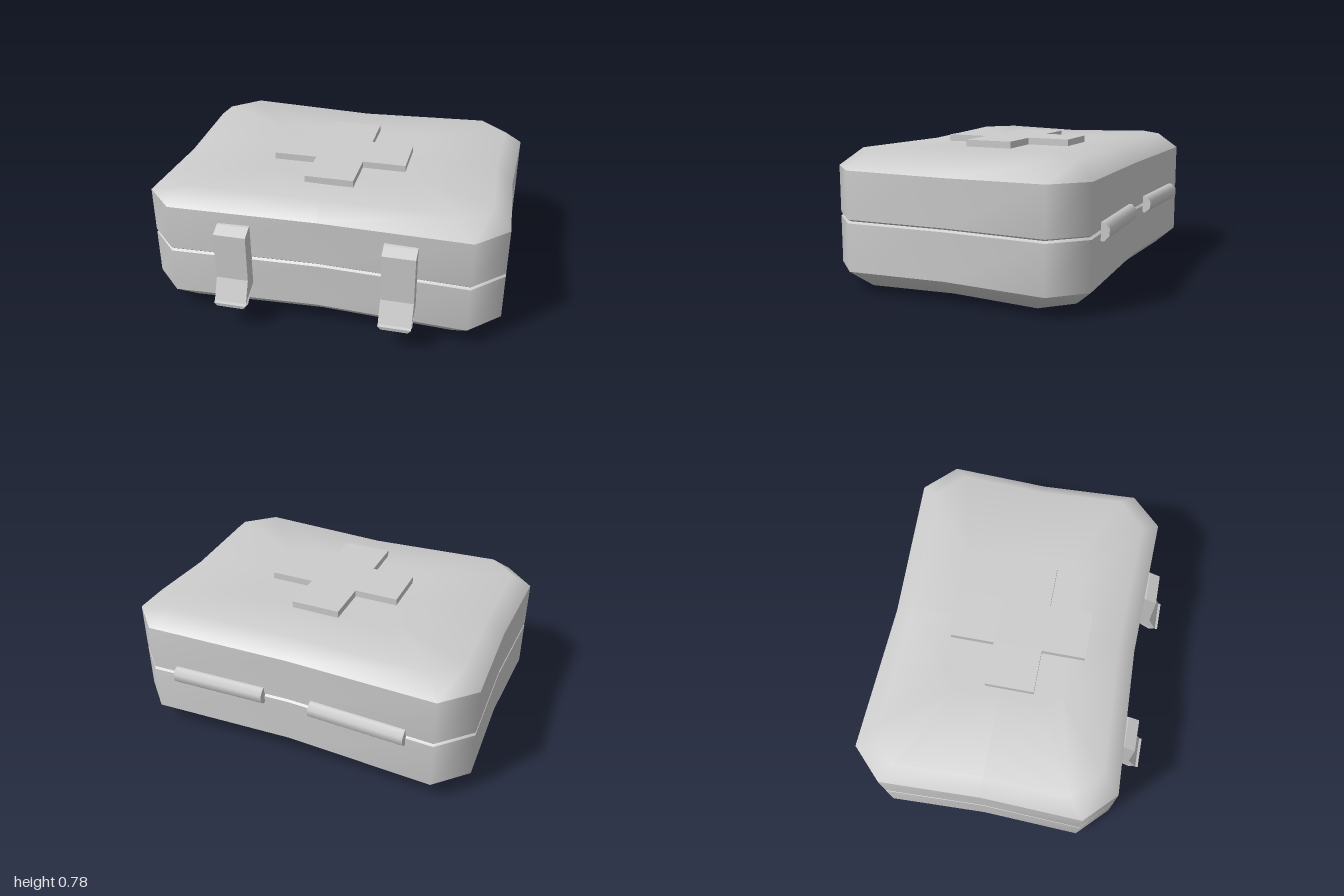
import * as THREE from 'three';

const material = new THREE.MeshStandardMaterial({ color: 0xcccccc, side: THREE.DoubleSide });
const MID_Z = -0.05;

// Right half of the plan outline, from the front middle to the back middle
const half = [[0, 0.65], [0.83, 0.68], [1, 0.51], [0.98, -0.05], [1, -0.61], [0.83, -0.78], [0, -0.75]];
const outline = [...half, ...half.slice(1, -1).reverse().map(([x, z]) => [-x, z])];

// Outline scaled about its middle; the middles of the sides shift in height by dip
function ring(y, sx = 1, sz = 1, dip = 0) {
  return outline.map(([x, z], i) => [x * sx, y + (i % 3 === 0 ? dip : 0), (z - MID_Z) * sz + MID_Z]);
}

// Smooth surface through rings listed from bottom to top
function band(name, rings) {
  const n = outline.length;
  const index = [];
  for (let r = 0; r < rings.length - 1; r++) {
    for (let i = 0; i < n; i++) {
      const a = r * n + i, b = r * n + (i + 1) % n;
      index.push(a, b, b + n, a, b + n, a + n);
    }
  }
  const g = new THREE.BufferGeometry();
  g.setAttribute('position', new THREE.Float32BufferAttribute(rings.flat(2), 3));
  g.setIndex(index);
  g.computeVertexNormals();
  return part(name, g);
}

function part(name, geometry) {
  const mesh = new THREE.Mesh(geometry, material);
  mesh.name = name;
  return mesh;
}

// Raised plus-shaped plate
function cross(name, y0, y1) {
  const a = 0.137, b = 0.383;
  const pts = [[a, a], [a, b], [-a, b], [-a, a], [-b, a], [-b, -a], [-a, -a], [-a, -b], [a, -b], [a, -a], [b, -a], [b, a]];
  const shape = new THREE.Shape(pts.map(p => new THREE.Vector2(...p)));
  const g = new THREE.ExtrudeGeometry(shape, { depth: y1 - y0, bevelEnabled: false });
  g.rotateX(-Math.PI / 2).translate(0, y0, -0.005);
  return part(name, g);
}

// Latch: side profile (z, y) extruded across its width, with a tapered lip
function latch(side) {
  const profile = [[0.62, 0.6], [0.68, 0.59], [0.743, 0.56], [0.743, 0.29], [0.797, 0.17], [0.813, 0.165],
    [0.81, 0.145], [0.795, 0.135], [0.762, 0.15], [0.685, 0.22], [0.62, 0.25]];
  const shape = new THREE.Shape(profile.map(p => new THREE.Vector2(...p)));
  const w = 0.18;
  const g = new THREE.ExtrudeGeometry(shape, { depth: w, bevelEnabled: false });
  g.translate(0, 0, -w / 2).rotateY(-Math.PI / 2);
  const p = g.attributes.position;
  for (let i = 0; i < p.count; i++) if (p.getY(i) < 0.149) p.setX(i, p.getX(i) * 0.82);
  g.computeVertexNormals();
  const mesh = part(side > 0 ? 'leftLatch' : 'rightLatch', g);
  mesh.position.x = side * 0.458;
  return mesh;
}

// Hinge barrel, following the slope of the back wall
function hinge(side) {
  const g = new THREE.CylinderGeometry(0.052, 0.052, 0.54, 8);
  g.rotateY(Math.PI / 8).rotateZ(Math.PI / 2);
  const mesh = part(side > 0 ? 'leftHinge' : 'rightHinge', g);
  mesh.position.set(side * 0.41, 0.39, -0.762);
  mesh.rotation.y = side * 0.036;
  return mesh;
}

export function createModel() {
  const model = new THREE.Group();
  model.name = 'firstAidCase';

  // Lower shell
  const bottom = new THREE.Group();
  bottom.name = 'lowerShell';
  bottom.add(
    band('bottomPanel', [ring(0.038, 0, 0), ring(0.038, 0.45, 0.45), ring(0.028, 0.9, 0.86, 0.01), ring(0.118, 1, 1, 0.007)]),
    band('lowerWall', [ring(0.118, 1, 1, 0.007), ring(0.38)]),
    band('lowerSeam', [ring(0.38), ring(0.39, 0.985, 0.982)]));

  // Lid
  const lid = new THREE.Group();
  lid.name = 'lid';
  lid.add(
    band('upperSeam', [ring(0.39, 0.985, 0.982), ring(0.4)]),
    band('upperWall', [ring(0.4), ring(0.66, 1, 1, -0.007)]),
    band('topPanel', [ring(0.66, 1, 1, -0.007), ring(0.753, 0.9, 0.86, -0.013), ring(0.742, 0.45, 0.45), ring(0.742, 0, 0)]));

  model.add(bottom, lid, cross('topCross', 0.72, 0.78), cross('bottomCross', 0, 0.06));
  for (const side of [1, -1]) model.add(latch(side), hinge(side));
  return model;
}
